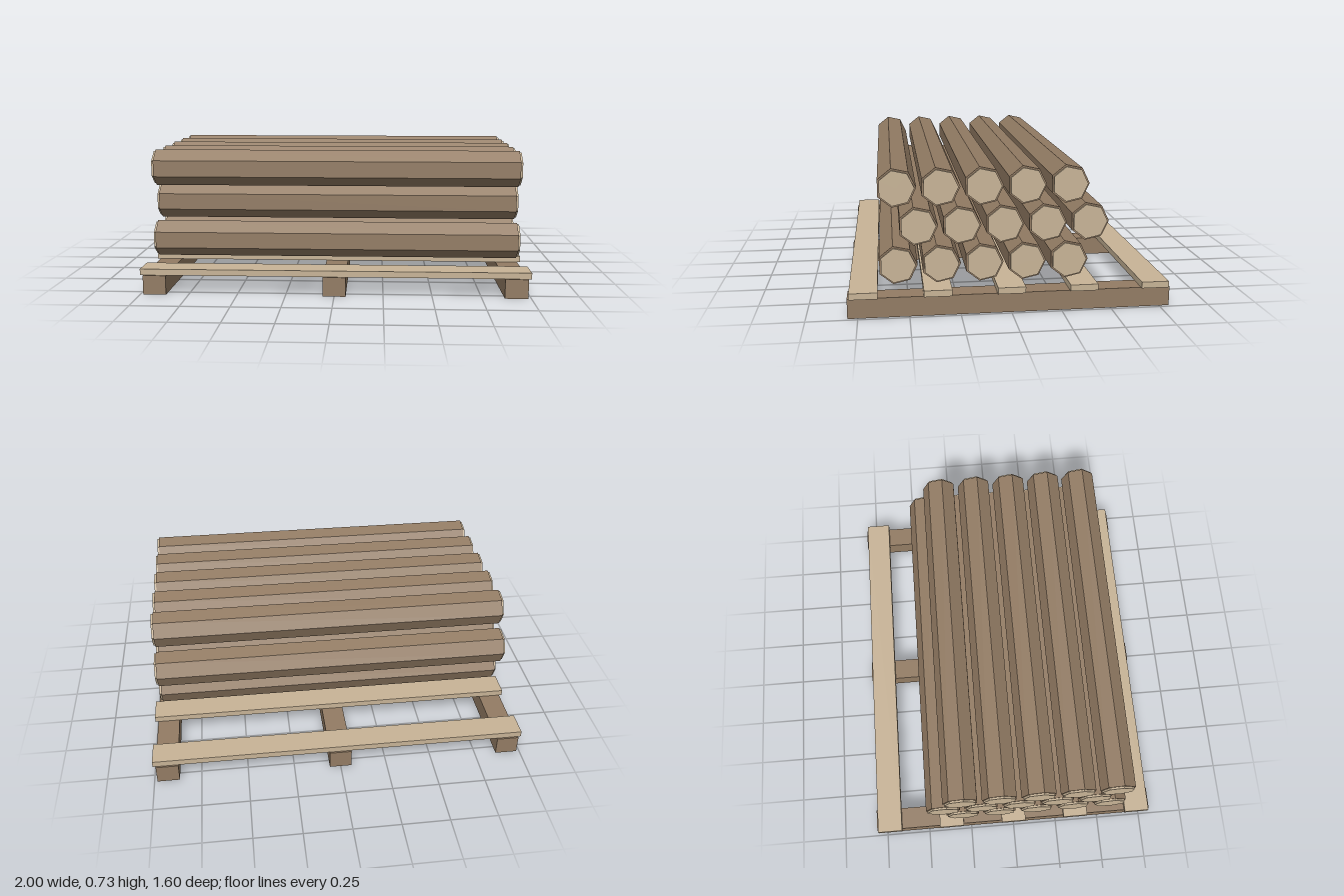
import * as THREE from 'three';

export function createModel() {
  const model = new THREE.Group();
  model.name = 'logPallet';

  const bark = new THREE.MeshStandardMaterial({ color: 0x937c64 });
  bark.name = 'brown bark';
  const wood = new THREE.MeshStandardMaterial({ color: 0xc8b497 });
  wood.name = 'pale cut wood';

  const add = (parent, name, geometry, material, x, y, z) => {
    const mesh = new THREE.Mesh(geometry, material);
    mesh.name = name;
    mesh.position.set(x, y, z);
    parent.add(mesh);
  };

  // Seven-sided prism lying along x, one corner pointing to the back
  const prism = (radius, length) => {
    const rounded = new THREE.CylinderGeometry(radius, radius, length, 7, 1, false, Math.PI);
    const flat = rounded.rotateZ(Math.PI / 2).toNonIndexed();
    flat.computeVertexNormals();
    return flat;
  };

  // Pallet: three bearers under five slats
  const pallet = new THREE.Group();
  pallet.name = 'pallet';
  model.add(pallet);
  const bearer = new THREE.BoxGeometry(0.118, 0.1, 1.6);
  for (const x of [-0.925, 0, 0.925]) add(pallet, 'bearer', bearer, bark, x, 0.05, 0);
  const slat = new THREE.BoxGeometry(2, 0.032, 0.138);
  for (let i = -2; i <= 2; i++) add(pallet, 'slat', slat, wood, 0, 0.116, i * 0.361);

  // Three staggered rows of five logs, each with raised cut ends
  const trunk = prism(0.097, 1.905);
  const cutEnd = prism(0.088, 0.012);
  for (let row = 0; row < 3; row++) {
    for (let i = 0; i < 5; i++) {
      const log = new THREE.Group();
      log.name = 'log';
      log.position.set(0, 0.252 + row * 0.19, 0.553 - i * 0.21 - (row % 2) * 0.101);
      add(log, 'trunk', trunk, bark, 0, 0, 0);
      for (const side of [-1, 1]) add(log, 'cutEnd', cutEnd, wood, side * 0.957, 0, 0);
      model.add(log);
    }
  }
  return model;
}
